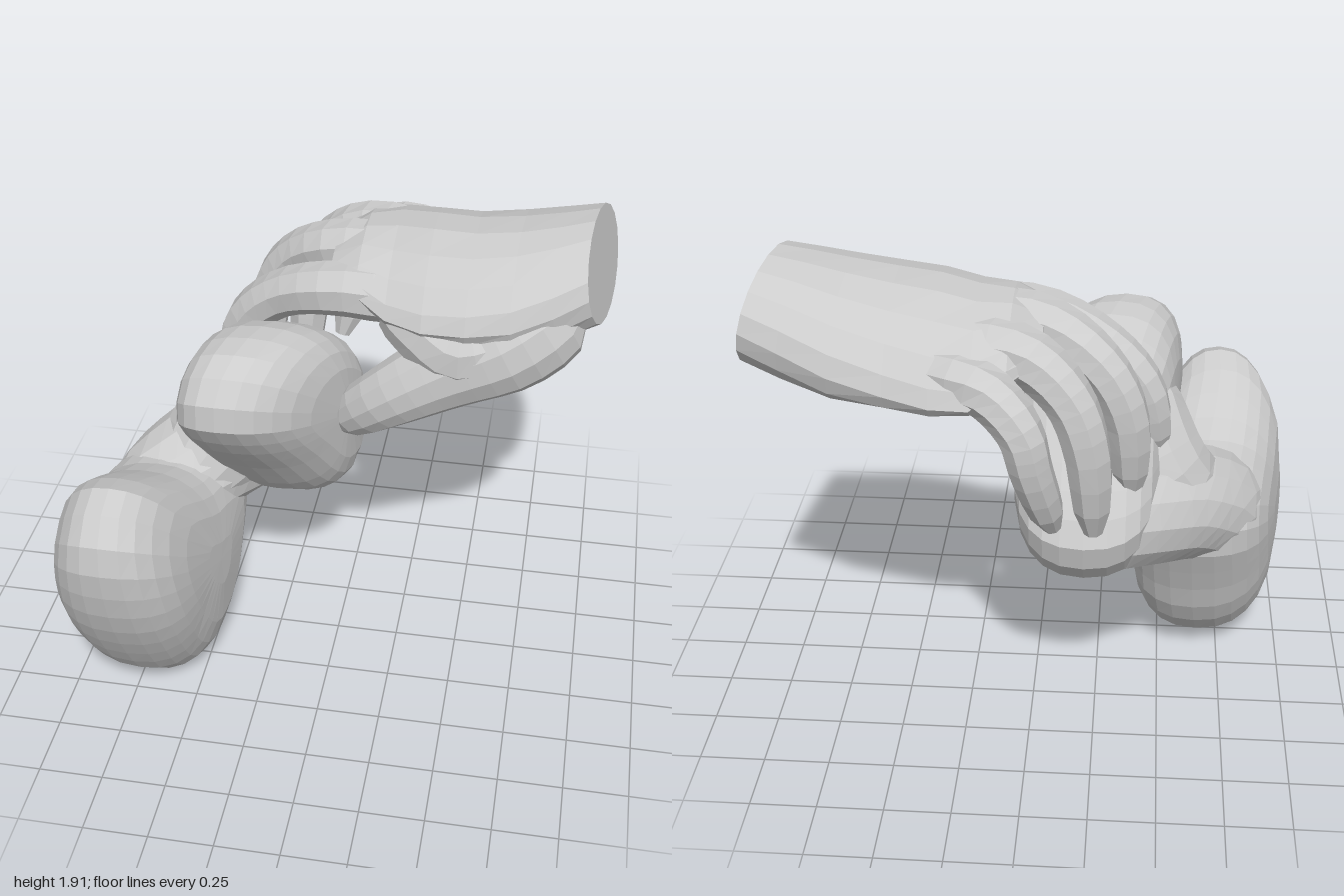
import * as THREE from 'three';

const V = (x, y, z) => new THREE.Vector3(x, y, z);
const material = new THREE.MeshStandardMaterial({ color: 0xcccccc, flatShading: true });

// Skins a list of equal-length rings and closes both ends; winding is set outward by signed volume.
function skin(name, rings) {
  const n = rings[0].length;
  const points = rings.flat();
  const centre = ring => ring.reduce((s, p) => s.add(p), V(0, 0, 0)).divideScalar(n);
  const first = points.length, last = first + 1, end = (rings.length - 1) * n;
  points.push(centre(rings[0]), centre(rings[rings.length - 1]));
  const faces = [];
  for (let j = 0; j < n; j++) {
    const k = (j + 1) % n;
    for (let i = 0; i < end; i += n) {
      faces.push([i + j, i + k, i + n + j], [i + k, i + n + k, i + n + j]);
    }
    faces.push([first, k, j], [last, end + j, end + k]);
  }
  let volume = 0;
  for (const [a, b, c] of faces) volume += points[a].dot(points[b].clone().cross(points[c]));
  if (volume < 0) faces.forEach(f => f.reverse());
  const geometry = new THREE.BufferGeometry().setFromPoints(points);
  geometry.setIndex(faces.flat());
  geometry.computeVertexNormals();
  const mesh = new THREE.Mesh(geometry, material);
  mesh.name = name;
  return mesh;
}

// Pillow-like solid: a [z, y] outline swelling along x; middle and half give the x extent.
function pillow(name, outline, cz, cy, middle, half) {
  const curve = new THREE.CatmullRomCurve3(outline.map(([z, y]) => V(0, y, z)), true);
  const rim = curve.getSpacedPoints(28).slice(0, 28);
  const rings = [];
  for (let i = 0; i <= 12; i++) {
    const a = (i / 12 - 0.5) * Math.PI * 0.97;
    const s = Math.pow(Math.cos(a), 0.52);
    const t = Math.sign(a) * Math.pow(Math.abs(Math.sin(a)), 0.85);
    rings.push(rim.map(p => {
      const y = cy + (p.y - cy) * s, z = cz + (p.z - cz) * s;
      return V(middle(y, z) + half(y, z) * t, y, z);
    }));
  }
  return skin(name, rings);
}

// Tapered limb along a curve with rounded ends.
function limb(name, path, radii, sides = 8, steps = 12, flatten = 1) {
  const curve = new THREE.CatmullRomCurve3(path.map(p => V(...p)));
  const rings = [];
  for (let i = 0; i <= steps; i++) {
    const u = i / steps;
    const f = u * (radii.length - 1), k = Math.min(Math.floor(f), radii.length - 2);
    const e = Math.min(1, 0.5 + Math.min(u, 1 - u) * steps * 0.42);
    const r = THREE.MathUtils.lerp(radii[k], radii[k + 1], f - k) * e;
    const p = curve.getPoint(u), t = curve.getTangent(u);
    const side = V(0, 0, 1).addScaledVector(t, -t.z).normalize();
    const up = t.clone().cross(side);
    rings.push(Array.from({ length: sides }, (_, j) => {
      const a = (j + 0.5) / sides * Math.PI * 2;
      return p.clone().addScaledVector(side, Math.cos(a) * r).addScaledVector(up, Math.sin(a) * r * flatten);
    }));
  }
  return skin(name, rings);
}

function createHandheldBody() {
  const group = new THREE.Group();
  group.name = 'grippedBody';

  // Lower grip, narrowing towards its top and bottom and leaning inward at the back
  group.add(pillow('lowerGrip', [
    [0.65, 1.14], [0.79, 1.08], [0.85, 0.95], [0.81, 0.67], [0.68, 0.38], [0.46, 0.07], [0.32, 0],
    [0.15, 0.06], [0, 0.23], [-0.09, 0.45], [-0.18, 0.66], [-0.16, 0.82], [0.05, 0.91], [0.25, 0.95], [0.44, 1.05],
  ], 0.32, 0.58,
  (y, z) => -0.725 + 0.1 * THREE.MathUtils.clamp((0.5 - z) / 0.6, 0, 1.2),
  (y, z) => 0.29 - 0.17 * (y - 0.45) ** 2 - 0.04 * Math.max(0, z - 0.5)));

  // Upper grip, slanting from high front to low back
  group.add(pillow('upperGrip', [
    [0.3, 1.53], [0.42, 1.46], [0.47, 1.33], [0.41, 1.21], [0.2, 0.95], [0.02, 0.73], [-0.09, 0.65],
    [-0.24, 0.63], [-0.42, 0.67], [-0.53, 0.77], [-0.57, 0.88], [-0.5, 1.03], [-0.33, 1.23], [-0.12, 1.43], [0.08, 1.53],
  ], -0.03, 1.1,
  (y, z) => -0.245 - 0.28 * Math.max(z, -0.15),
  (y, z) => 0.28 - 0.1 * Math.max(0, z)));

  // Thick neck joining the two grips at the back, with a shoulder rising into the upper one
  group.add(limb('bridge', [[-0.72, 0.5, 0.34], [-0.7, 0.7, 0.12], [-0.57, 0.8, -0.03], [-0.42, 0.85, -0.17], [-0.24, 0.88, -0.3], [-0.14, 0.88, -0.32]],
    [0.24, 0.23, 0.24, 0.24, 0.23, 0.2], 14, 16, 0.95));
  group.add(limb('shoulder', [[-0.62, 0.74, 0.08], [-0.47, 0.92, -0.07], [-0.37, 1.1, -0.02], [-0.31, 1.28, 0.1]],
    [0.2, 0.23, 0.23, 0.2], 14, 10));
  return group;
}

function createHand() {
  const group = new THREE.Group();
  group.name = 'hand';

  // Palm and wrist sections: x, centre y, centre z, half height, half width, arch, slope
  const sections = [
    [0.95, 1.71, -0.28, 0.2, 0.295, 0, 0],
    [0.82, 1.67, -0.27, 0.215, 0.34, 0.1, 0],
    [0.66, 1.64, -0.27, 0.215, 0.39, 0.25, 0.02],
    [0.48, 1.65, -0.28, 0.18, 0.42, 0.45, 0.05],
    [0.32, 1.67, -0.31, 0.15, 0.435, 0.6, 0.06],
    [0.18, 1.68, -0.35, 0.12, 0.42, 0.65, 0.06],
    [0.06, 1.69, -0.34, 0.095, 0.34, 0.6, 0.06],
    [-0.05, 1.67, -0.31, 0.05, 0.24, 0.6, 0.04],
  ];
  group.add(skin('palm', sections.map(([x, cy, cz, hy, hz, arch, slope], i) =>
    Array.from({ length: 18 }, (_, j) => {
      const a = j / 18 * Math.PI * 2;
      const y = hy * Math.sin(a), z = hz * Math.cos(a);
      const cut = Math.max(0, 1 - i / 3);
      return V(x - cut * (0.2 * y + 0.14 * z), cy + y - arch * z * z + slope * z, cz + z);
    }))));

  // Four fingers curling over the upper grip
  const fingers = {
    indexFinger: [[0.32, 1.6, -0.08], [-0.02, 1.61, -0.1], [-0.26, 1.52, -0.17], [-0.4, 1.37, -0.2], [-0.46, 1.1, -0.18]],
    middleFinger: [[0.28, 1.67, -0.28], [-0.04, 1.67, -0.32], [-0.24, 1.56, -0.4], [-0.34, 1.38, -0.42], [-0.37, 1.03, -0.38]],
    ringFinger: [[0.28, 1.66, -0.46], [0.01, 1.64, -0.53], [-0.14, 1.52, -0.59], [-0.21, 1.34, -0.61], [-0.24, 0.97, -0.57]],
    littleFinger: [[0.36, 1.6, -0.57], [0.13, 1.58, -0.69], [0.01, 1.47, -0.76], [-0.03, 1.32, -0.76], [-0.1, 1.05, -0.68]],
  };
  for (const [name, path] of Object.entries(fingers)) {
    const w = name === 'littleFinger' ? 0.9 : 1;
    group.add(limb(name, path, [0.115, 0.105, 0.092, 0.086, 0.072].map(r => r * w), 8, 14));
  }

  // Thumb with its heavy base, reaching below towards the front of the grip
  group.add(limb('thumb', [[0.86, 1.63, -0.12], [0.64, 1.49, -0.02], [0.42, 1.38, 0.02], [0.2, 1.24, 0.04], [-0.01, 1.05, -0.03]],
    [0.15, 0.16, 0.135, 0.105, 0.075], 12, 14, 1.2));

  // Web of flesh between the thumb and the index knuckle
  group.add(limb('thumbWeb', [[0.62, 1.5, 0], [0.44, 1.47, 0.03], [0.3, 1.54, 0], [0.18, 1.61, -0.06]],
    [0.13, 0.13, 0.11, 0.09], 10, 10, 1.15));
  return group;
}

export function createModel() {
  const model = new THREE.Group();
  model.name = 'handWithGrippedBody';
  model.add(createHandheldBody(), createHand());
  return model;
}
